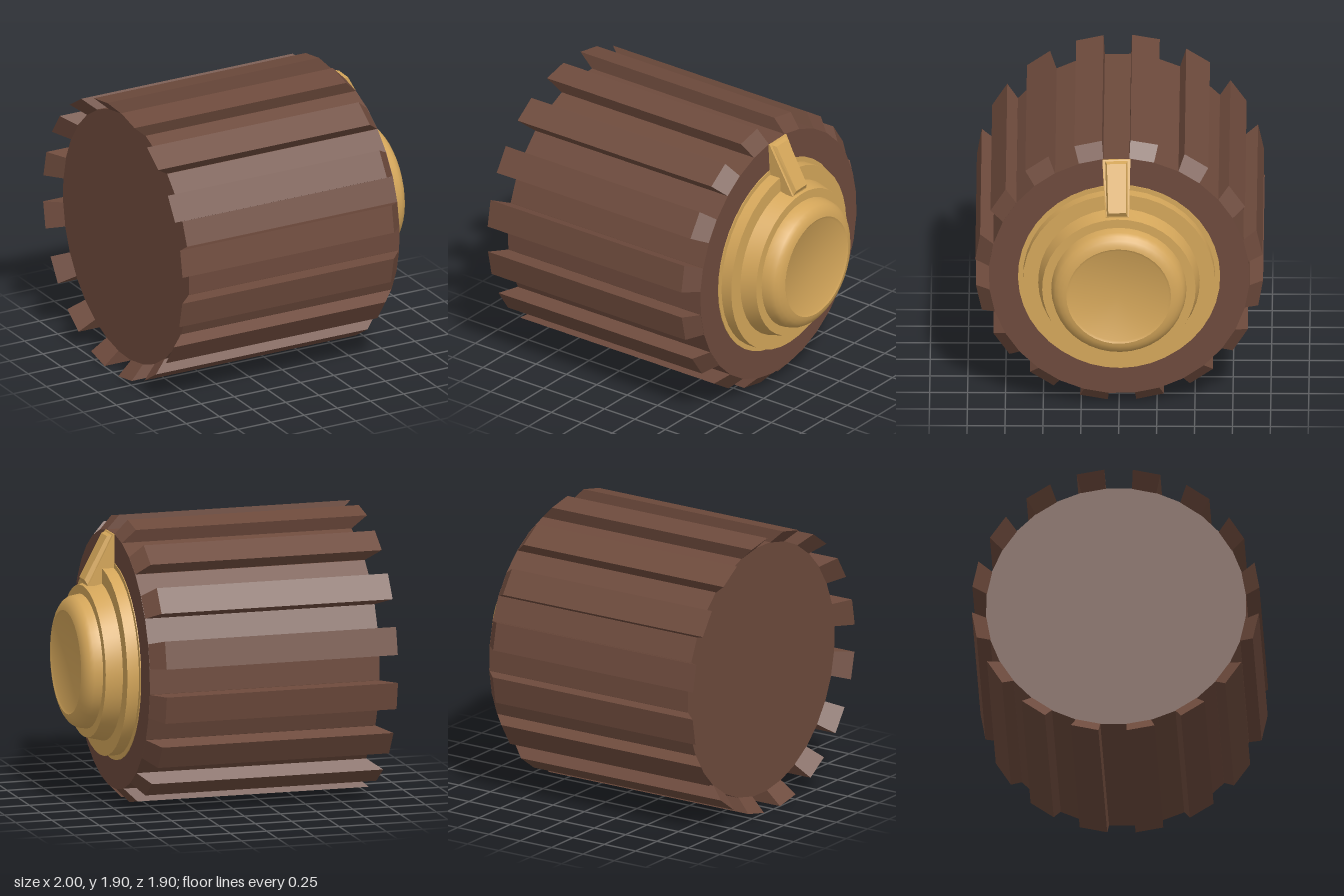
import * as THREE from 'three';
import { toCreasedNormals } from 'three/addons/utils/BufferGeometryUtils.js';

const CENTRE_Y = 0.945;
const TWIST = THREE.MathUtils.degToRad(1.2);
const TEETH = 16;

// Skins four-cornered loops from first to last, closing both ends, with flat faces
function loft(loops) {
  const pos = [];
  const quad = (a, b, c, d) => [a, b, c, a, c, d].forEach((p) => pos.push(...p));
  for (let n = 0; n < loops.length - 1; n++) {
    const lo = loops[n], hi = loops[n + 1];
    for (let i = 0; i < 4; i++) {
      const j = (i + 1) % 4;
      quad(lo[i], lo[j], hi[j], hi[i]);
    }
  }
  const first = loops[0], last = loops[loops.length - 1];
  quad(first[3], first[2], first[1], first[0]);
  quad(...last);
  const geo = new THREE.BufferGeometry();
  geo.setAttribute('position', new THREE.Float32BufferAttribute(pos, 3));
  geo.computeVertexNormals();
  return geo;
}

export function createModel() {
  const brown = new THREE.MeshStandardMaterial({ color: 0x6d4a3c });
  brown.name = 'dark brown';
  const gold = new THREE.MeshStandardMaterial({ color: 0xd4a65a });
  gold.name = 'warm gold';

  const model = new THREE.Group();
  model.name = 'ribbedKnob';
  const add = (parent, name, geo, mat) => {
    const mesh = new THREE.Mesh(geo, mat);
    mesh.name = name;
    parent.add(mesh);
    return mesh;
  };

  // Everything turns about the x axis, slightly twisted
  const knob = new THREE.Group();
  knob.name = 'knob';
  knob.position.y = CENTRE_Y;
  knob.rotation.x = TWIST;
  model.add(knob);

  // Faceted drum: one facet under each rib and one between
  const drum = new THREE.CylinderGeometry(0.861, 0.861, 1.585, TEETH * 2, 1, false, Math.PI / (TEETH * 2));
  drum.rotateZ(-Math.PI / 2);
  drum.translate(-0.1075, 0, 0);
  add(knob, 'drum', toCreasedNormals(drum, 0.1), brown);

  // Ribs flare outward, overhang the back end and are chamfered at the front
  const ribLoop = (y, x0, x1, w) => [[x0, y, w], [x1, y, w], [x1, y, -w], [x0, y, -w]];
  const ribGeo = loft([
    ribLoop(0.855, -0.9, 0.685, 0.082),
    ribLoop(0.9475, -1, 0.595, 0.093),
  ]);
  const ribs = new THREE.Group();
  ribs.name = 'ribs';
  knob.add(ribs);
  for (let i = 0; i < TEETH; i++) {
    add(ribs, 'rib', ribGeo, brown).rotation.x = ((i + 0.5) * Math.PI * 2) / TEETH;
  }

  // Stepped cap with a domed button: [radius, x]
  const profile = [
    [0.667, 0.68], [0.667, 0.69], [0.634, 0.69], [0.634, 0.77],
    [0.533, 0.77], [0.506, 0.88], [0.446, 0.88], [0.437, 0.935],
    [0.421, 0.962], [0.396, 0.982], [0.368, 0.995], [0.345, 1],
    [0.329, 0.992], [0, 0.992],
  ].map(([r, x]) => new THREE.Vector2(r, x));
  const cap = new THREE.LatheGeometry(profile, 40);
  cap.rotateZ(-Math.PI / 2);
  add(knob, 'steppedCap', toCreasedNormals(cap, 0.55), gold);

  // Sloping pointer with a raised face: lower and upper [x, y, half width]
  const pointerLoop = ([xl, yl, wl], [xu, yu, wu]) =>
    [[xl, yl, wl], [xl, yl, -wl], [xu, yu, -wu], [xu, yu, wu]];
  const pointer = loft([
    pointerLoop([0.68, 1.46, 0.078], [0.68, 1.8, 0.093]),
    pointerLoop([0.868, 1.46, 0.078], [0.695, 1.8, 0.093]),
    pointerLoop([0.868, 1.468, 0.068], [0.7, 1.792, 0.074]),
    pointerLoop([0.885, 1.5, 0.058], [0.73, 1.785, 0.062]),
  ]);
  pointer.translate(0, -CENTRE_Y, 0);
  add(knob, 'pointer', pointer, gold);

  return model;
}
